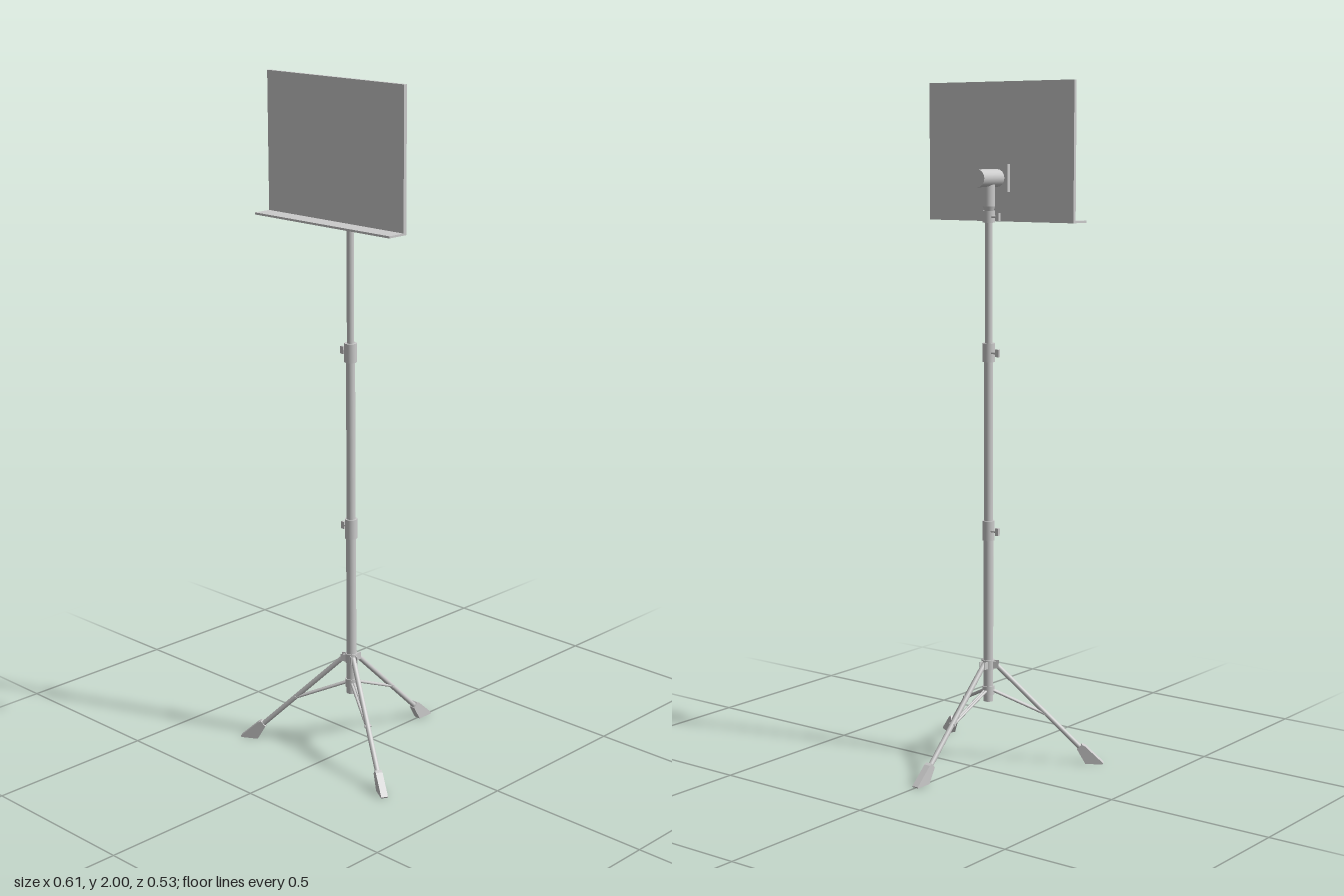
import * as THREE from 'three';

const AXIS_Z = 0.085; // pole centre line
const mat = new THREE.MeshStandardMaterial({ color: 0xcccccc });

function add(parent, name, geometry, x = 0, y = 0, z = 0) {
  const mesh = new THREE.Mesh(geometry, mat);
  mesh.name = name;
  mesh.position.set(x, y, z);
  parent.add(mesh);
  return mesh;
}

// Upright cylinder between two heights on the pole axis
function post(parent, name, r, y0, y1, rBottom = r) {
  return add(parent, name, new THREE.CylinderGeometry(r, rBottom, y1 - y0, 32), 0, (y0 + y1) / 2, 0);
}

// Round rod between two points
function rod(parent, name, a, b, r) {
  const p = new THREE.Vector3(...a), q = new THREE.Vector3(...b);
  const mesh = add(parent, name, new THREE.CylinderGeometry(r, r, p.distanceTo(q), 16));
  mesh.position.copy(p).add(q).multiplyScalar(0.5);
  mesh.quaternion.setFromUnitVectors(new THREE.Vector3(0, 1, 0), q.sub(p).normalize());
  return mesh;
}

// Profile in the x-y plane, extruded symmetrically along z
function slab(points, width) {
  const shape = new THREE.Shape(points.map(([x, y]) => new THREE.Vector2(x, y)));
  return new THREE.ExtrudeGeometry(shape, { depth: width, bevelEnabled: false }).translate(0, 0, -width / 2);
}

// Clamp sleeve with a wing screw on the right
function clamp(parent, name, r, y0, y1) {
  const g = new THREE.Group();
  g.name = name;
  post(g, 'sleeve', r, y0, y1);
  const y = (y0 + y1) / 2;
  rod(g, 'screw', [-r + 0.004, y, -0.006], [-0.033, y, -0.006], 0.0035);
  add(g, 'screwWing', new THREE.BoxGeometry(0.012, 0.022, 0.008), -0.037, y, -0.006);
  parent.add(g);
}

// One leg running out along +x, with brace and rubber foot
function makeLeg() {
  const leg = new THREE.Group();
  leg.name = 'leg';
  rod(leg, 'legTube', [0.019, 0.296, 0], [0.298, 0.026, 0], 0.0075);
  for (const s of [-1, 1]) {
    add(leg, 'hingeCheek', new THREE.BoxGeometry(0.022, 0.022, 0.002), 0.02, 0.292, s * 0.0085);
    rod(leg, 'brace', [0.014, 0.213, s * 0.0035], [0.172, 0.146, s * 0.0035], 0.004);
  }
  rod(leg, 'bracePivot', [0.172, 0.147, -0.01], [0.172, 0.147, 0.01], 0.004);
  add(leg, 'foot', slab([[0.267, 0.043], [0.281, 0.058], [0.29, 0.054], [0.345, 0.004], [0.343, 0], [0.292, 0]], 0.02));
  return leg;
}

export function createModel() {
  const root = new THREE.Group();
  root.name = 'musicStand';
  const stand = new THREE.Group();
  stand.name = 'stand';
  stand.position.z = AXIS_Z;
  root.add(stand);

  // Telescoping pole
  post(stand, 'lowerPole', 0.0145, 0.18, 0.7);
  post(stand, 'middlePole', 0.013, 0.7, 1.23);
  post(stand, 'upperPole', 0.0105, 1.23, 1.61);
  clamp(stand, 'lowerClamp', 0.018, 0.667, 0.726);
  clamp(stand, 'middleClamp', 0.018, 1.195, 1.25);
  clamp(stand, 'topClamp', 0.018, 1.598, 1.632);

  // Tripod base
  post(stand, 'upperHub', 0.018, 0.277, 0.306);
  post(stand, 'lowerHub', 0.018, 0.2, 0.226);
  for (let i = 0; i < 3; i++) {
    const leg = makeLeg();
    leg.rotation.y = Math.PI / 2 + (i * 2 * Math.PI) / 3;
    stand.add(leg);
  }

  // Neck and tilting head
  post(stand, 'neckTaper', 0.018, 1.63, 1.645, 0.013);
  post(stand, 'neck', 0.018, 1.645, 1.715);
  rod(stand, 'tiltBarrel', [0, 1.725, -0.055], [0, 1.725, 0.041], 0.0255);
  add(stand, 'mountPlate', new THREE.BoxGeometry(0.074, 0.08, 0.012), 0, 1.725, 0.046);

  // Desk: upright panel with a ledge along its lower edge
  const desk = new THREE.Group();
  desk.name = 'desk';
  add(desk, 'panel', new THREE.BoxGeometry(0.52, 0.4, 0.011), 0, 1.8, 0.1425);
  add(desk, 'ledge', new THREE.BoxGeometry(0.52, 0.006, 0.055), 0, 1.603, 0.1755);
  root.add(desk);
  return root;
}
